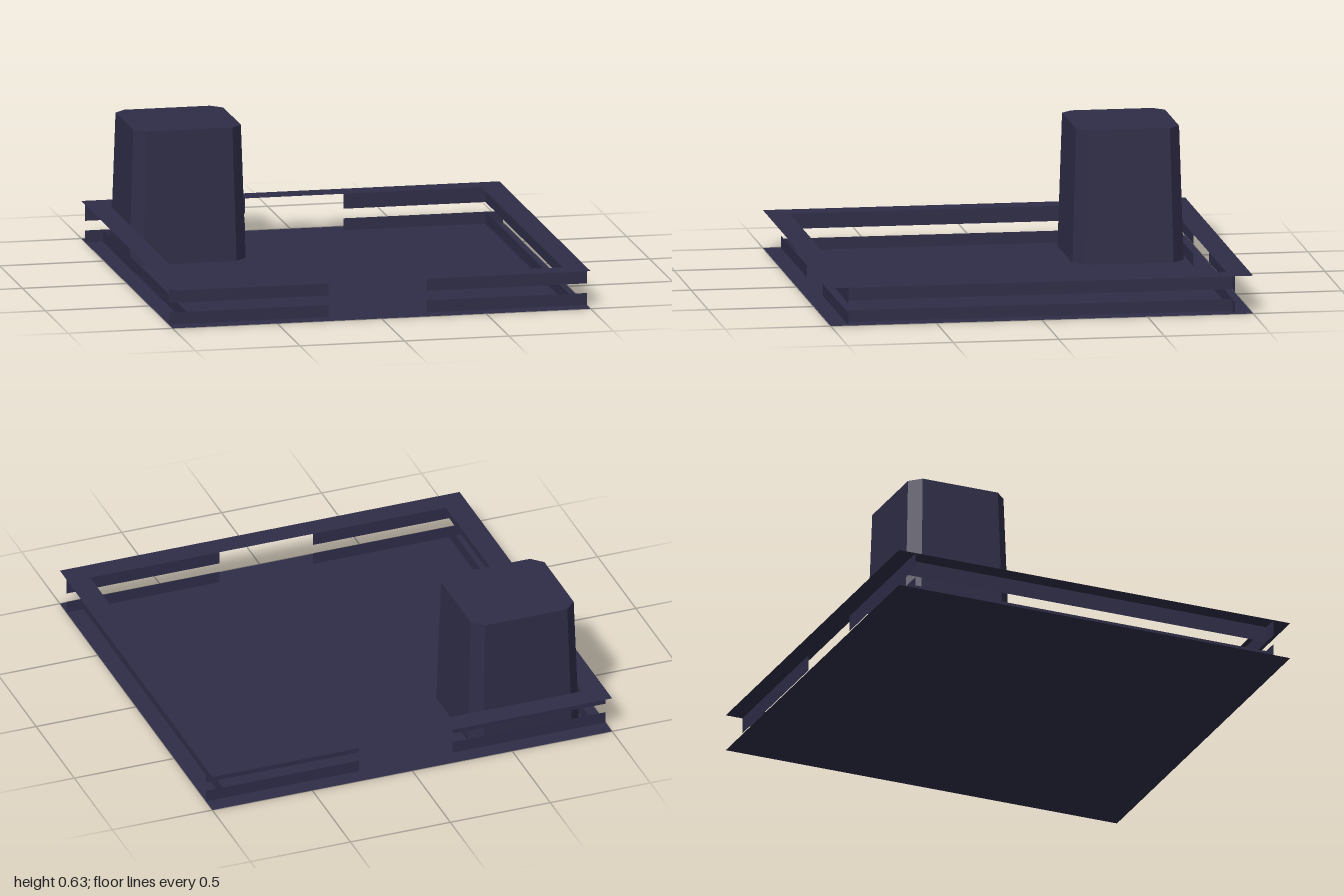
import * as THREE from 'three';

export function createModel() {
  const group = new THREE.Group();
  const slate = new THREE.MeshStandardMaterial({ color: 0x2f2d48, side: THREE.DoubleSide });
  slate.name = 'dark slate';

  const add = (name, geometry, x, y, z) => {
    const mesh = new THREE.Mesh(geometry, slate);
    mesh.name = name;
    mesh.position.set(x, y, z);
    group.add(mesh);
    return mesh;
  };
  const flat = (w, d) => new THREE.PlaneGeometry(w, d).rotateX(-Math.PI / 2);

  // Floor sheet
  add('floor', flat(2, 2), 0, 0, 0);

  // Flat rim above the walls: front and back run full width, sides fit between
  const railTop = 0.18, inner = 0.89, rim = 1 - inner, mid = (1 + inner) / 2;
  for (const s of [1, -1]) {
    add(s > 0 ? 'frontRim' : 'backRim', flat(2, rim), 0, railTop, s * mid);
    add(s > 0 ? 'leftRim' : 'rightRim', flat(rim, 2 * inner), s * mid, railTop, 0);
  }

  // Thin wall strips in two tiers; front and back have a central gap
  const wall = 0.915, gap = 0.235;
  for (const [tier, y0, y1] of [['lower', 0, 0.057], ['upper', 0.103, railTop]]) {
    const h = y1 - y0, y = (y0 + y1) / 2;
    for (const s of [1, -1]) {
      const side = new THREE.PlaneGeometry(2 * wall, h).rotateY(s * Math.PI / 2);
      add(tier + 'SideStrip', side, s * wall, y, 0);
      for (const t of [1, -1]) {
        const strip = new THREE.PlaneGeometry(1 - gap, h);
        if (s < 0) strip.rotateY(Math.PI);
        add(tier + (s > 0 ? 'FrontStrip' : 'BackStrip'), strip, t * (1 + gap) / 2, y, s * wall);
      }
    }
  }

  // Tapered tower with chamfered corners
  const hx = 0.278, hz = 0.263, c = 0.056, height = 0.635;
  const outline = new THREE.Shape([
    [hx - c, -hz], [hx, c - hz], [hx, hz - c], [hx - c, hz],
    [c - hx, hz], [-hx, hz - c], [-hx, c - hz], [c - hx, -hz],
  ].map(([x, y]) => new THREE.Vector2(x, y)));
  const tower = new THREE.ExtrudeGeometry(outline, { depth: height, bevelEnabled: false });
  tower.rotateX(-Math.PI / 2);
  const p = tower.attributes.position;
  for (let i = 0; i < p.count; i++) {
    const k = 1 - 0.072 * p.getY(i) / height;
    p.setX(i, p.getX(i) * k);
    p.setZ(i, p.getZ(i) * k);
  }
  tower.computeVertexNormals();
  add('tower', tower, -0.617, 0, -0.632);

  return group;
}
